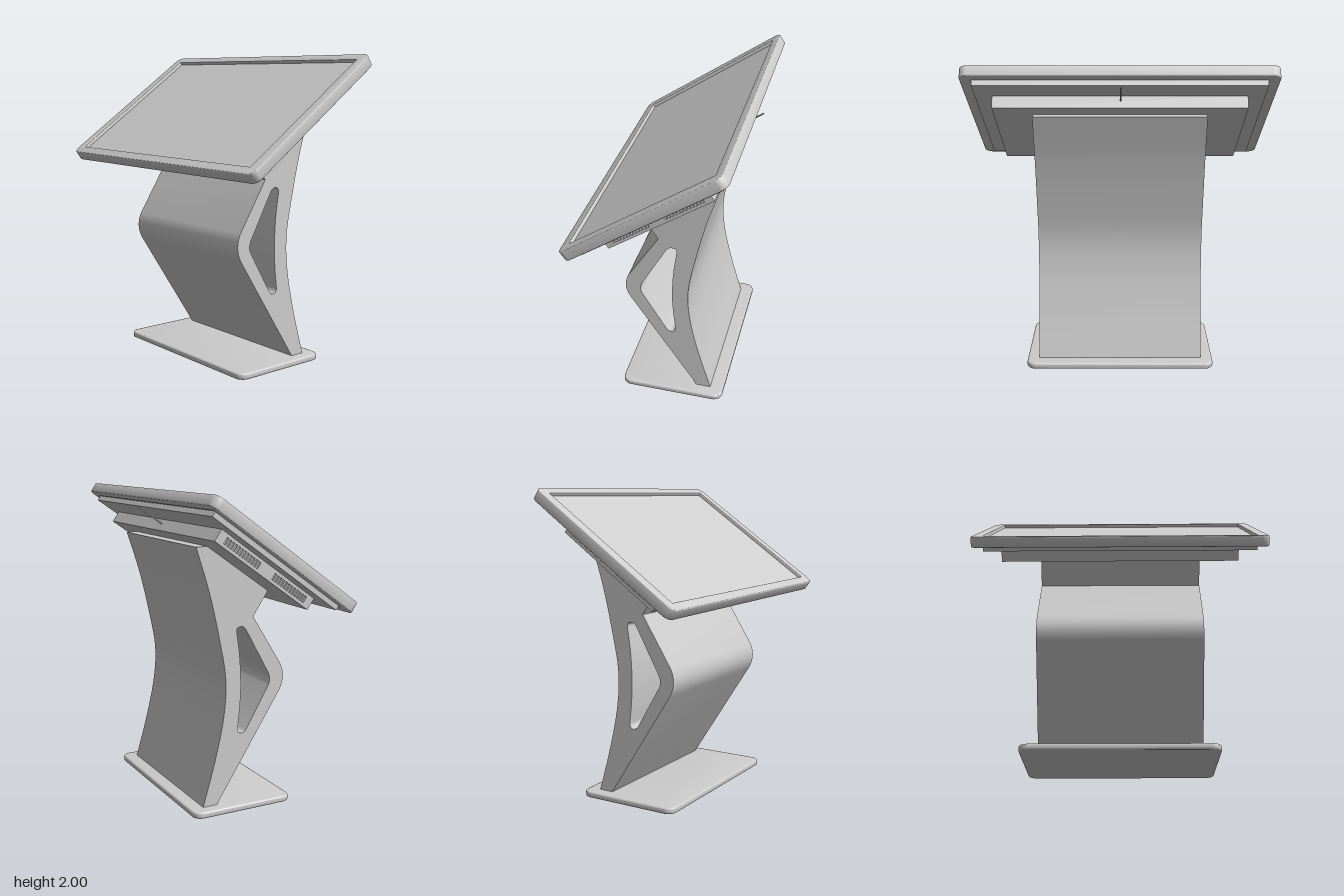
import * as THREE from 'three';
import { toCreasedNormals } from 'three/addons/utils/BufferGeometryUtils.js';

const grey = new THREE.MeshStandardMaterial({ color: 0xcccccc });
grey.name = 'light grey';

function add(parent, name, geometry, x = 0, y = 0, z = 0) {
  const mesh = new THREE.Mesh(geometry, grey);
  mesh.name = name;
  mesh.position.set(x, y, z);
  parent.add(mesh);
  return mesh;
}

// Rounded rectangle centred on the origin
function roundedRect(w, h, r, Type = THREE.Shape) {
  const s = new Type(), x = w / 2 - r, y = h / 2 - r;
  s.absarc(x, y, r, 0, Math.PI / 2);
  s.absarc(-x, y, r, Math.PI / 2, Math.PI);
  s.absarc(-x, -y, r, Math.PI, Math.PI * 1.5);
  s.absarc(x, -y, r, Math.PI * 1.5, Math.PI * 2);
  s.closePath();
  return s;
}

// Extrusion from z = 0 to depth whose bevel stays inside the outline
function slab(shape, depth, bevel) {
  const g = new THREE.ExtrudeGeometry(shape, {
    depth: depth - 2 * bevel, bevelEnabled: bevel > 0, bevelSize: bevel,
    bevelThickness: bevel, bevelOffset: -bevel, bevelSegments: 3, curveSegments: 8,
  });
  g.translate(0, 0, bevel);
  return toCreasedNormals(g, 0.6);
}

// Flat rectangular path used for small openings
function rectHole(cx, cy, w, h) {
  return new THREE.Path([[-1, -1], [-1, 1], [1, 1], [1, -1]].map(
    ([a, b]) => new THREE.Vector2(cx + a * w / 2, cy + b * h / 2)));
}

// Points are [z, y]; the profile is extruded sideways
const vecs = (pts) => pts.map(([z, y]) => new THREE.Vector2(z, y));

function columnGeometry() {
  const s = new THREE.Shape();
  // front: lower leg, soft knee, upper leg, notch
  s.moveTo(-0.233, 0.035);
  s.lineTo(0.212, 0.725);
  s.bezierCurveTo(0.253, 0.79, 0.253, 0.85, 0.222, 0.91);
  s.lineTo(0.021, 1.228);
  // top, following the tilted housing
  s.lineTo(0.125, 1.385);
  s.lineTo(-0.295, 1.677);
  s.lineTo(-0.37, 1.675);
  // curved back
  s.splineThru(vecs([[-0.28, 1.39], [-0.212, 1.1], [-0.169, 0.852],
    [-0.18, 0.624], [-0.238, 0.35], [-0.328, 0.035]]));
  s.closePath();

  // through opening
  const h = new THREE.Path();
  h.moveTo(-0.03, 1.153);
  h.quadraticCurveTo(-0.05, 1.178, -0.075, 1.172);
  h.quadraticCurveTo(-0.098, 1.165, -0.094, 1.14);
  h.splineThru(vecs([[-0.072, 0.98], [-0.063, 0.8], [-0.07, 0.65], [-0.085, 0.52]]));
  h.quadraticCurveTo(-0.084, 0.492, -0.058, 0.487);
  h.quadraticCurveTo(-0.034, 0.487, -0.021, 0.51);
  h.lineTo(0.136, 0.775);
  h.quadraticCurveTo(0.158, 0.815, 0.134, 0.86);
  h.closePath();
  s.holes.push(h);

  const g = new THREE.ExtrudeGeometry(s, { depth: 1.076, bevelEnabled: false, curveSegments: 10 });
  g.translate(0, 0, -0.538);
  g.rotateY(-Math.PI / 2); // profile x becomes z
  return toCreasedNormals(g, 0.5);
}

// Side wall of the housing with two rows of vent slots; shape x runs up the screen
function ventPanelGeometry(thickness) {
  const s = new THREE.Shape(vecs([[-0.396, -0.04], [0.374, -0.04], [0.374, 0.04], [-0.396, 0.04]]));
  for (const centre of [-0.208, 0.182]) {
    for (let i = 0; i < 12; i++) {
      s.holes.push(rectHole(centre + (i - 5.5) * 0.0235, 0, 0.014, 0.042));
    }
  }
  const g = new THREE.ExtrudeGeometry(s, { depth: thickness, bevelEnabled: false });
  g.translate(0, 0, -thickness / 2);
  // shape x -> y, shape y -> z, depth -> x
  g.applyMatrix4(new THREE.Matrix4().set(0, 0, 1, 0, 1, 0, 0, 0, 0, 1, 0, 0, 0, 0, 0, 1));
  return g;
}

export function createModel() {
  const model = new THREE.Group();
  model.name = 'kiosk';

  // Base plate
  const base = slab(roundedRect(1.23, 0.69, 0.06), 0.04, 0.01);
  base.rotateX(-Math.PI / 2);
  add(model, 'basePlate', base, 0, 0, -0.07);

  add(model, 'column', columnGeometry());

  // Tilted display: local y runs up the screen, local z faces the viewer
  const display = new THREE.Group();
  display.name = 'display';
  display.position.set(0, 1.665, 0.0325);
  display.rotation.x = THREE.MathUtils.degToRad(-55);
  model.add(display);

  const frame = roundedRect(1.922, 1.167, 0.05);
  frame.holes.push(rectHole(0, 0.004, 1.776, 1.042));
  add(display, 'screenFrame', slab(frame, 0.07, 0.006), 0, 0, -0.07);
  add(display, 'screenPanel', new THREE.BoxGeometry(1.8, 1.07, 0.043), 0, 0.004, -0.0435);
  add(display, 'backPlate', new THREE.BoxGeometry(1.78, 1.02, 0.04), 0, 0.005, -0.08);

  // Electronics housing with vented side walls
  add(display, 'housing', new THREE.BoxGeometry(1.54, 0.77, 0.08), 0, -0.011, -0.14);
  for (const side of [1, -1]) {
    add(display, 'ventPanel', ventPanelGeometry(0.014), side * 0.777, 0, -0.14);
  }

  // Thin rod standing out of the top edge
  const rod = new THREE.CylinderGeometry(0.005, 0.005, 0.2, 10);
  add(display, 'antenna', rod, -0.004, 0.46, -0.131);

  return model;
}
